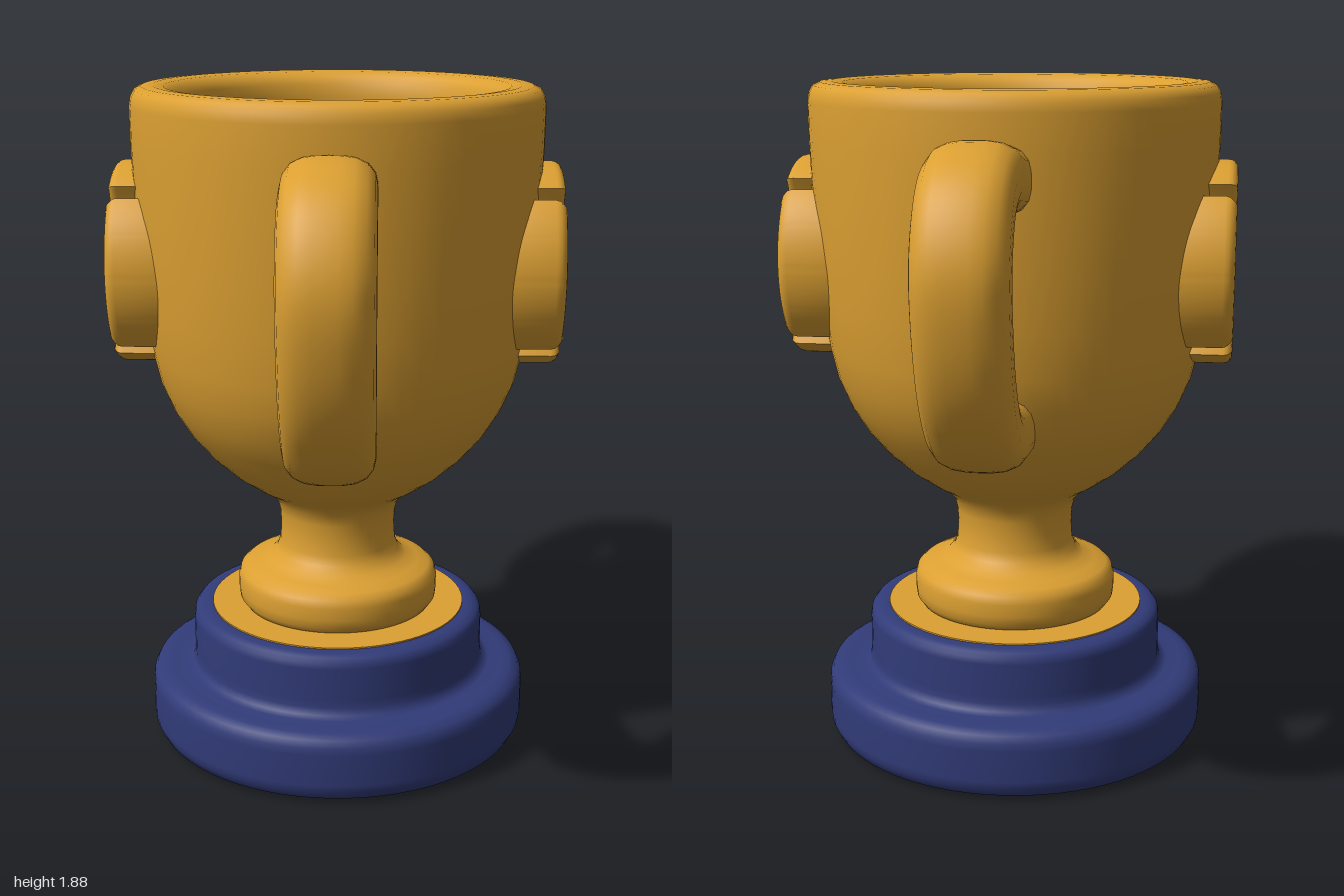
import * as THREE from 'three';
import { mergeVertices, toCreasedNormals } from 'three/addons/utils/BufferGeometryUtils.js';

const mat = (name, color) => {
  const m = new THREE.MeshStandardMaterial({ color });
  m.name = name;
  return m;
};

const V2 = (x, y) => new THREE.Vector2(x, y);

export function createModel() {
  const gold = mat('gold', 0xdca032);
  const blue = mat('navy blue', 0x313b78);
  const rust = mat('rust interior', 0xc05a24);
  const model = new THREE.Group();
  model.name = 'trophy';

  const add = (name, geometry, material, parent = model) => {
    const mesh = new THREE.Mesh(geometry, material);
    mesh.name = name;
    parent.add(mesh);
    return mesh;
  };
  const lathe = (name, pts, material) =>
    add(name, new THREE.LatheGeometry(pts.map(([x, y]) => V2(x, y)), 72), material);

  // Two-step plinth with softened edges
  lathe('plinth', [
    [0, 0], [0.49, 0], [0.51, 0.002], [0.535, 0.015], [0.548, 0.04], [0.55, 0.06],
    [0.55, 0.15], [0.548, 0.17], [0.538, 0.19], [0.515, 0.2], [0.49, 0.202],
    [0.45, 0.203], [0.432, 0.21], [0.426, 0.23], [0.425, 0.25], [0.425, 0.345],
    [0.422, 0.362], [0.412, 0.374], [0.395, 0.38], [0.375, 0.381], [0, 0.381],
  ], blue);

  // Thin gilt ring under the foot
  add('giltRing', new THREE.CylinderGeometry(0.37, 0.37, 0.006, 72).translate(0, 0.382, 0), gold);

  // Foot, stem, bowl and rolled rim in one profile
  lathe('cup', [
    [0.25, 0.382], [0.275, 0.387], [0.288, 0.405], [0.291, 0.43], [0.291, 0.465], [0.285, 0.487],
    [0.268, 0.502], [0.235, 0.512], [0.2, 0.526], [0.178, 0.548], [0.168, 0.575],
    [0.165, 0.62], [0.167, 0.665], [0.176, 0.7], [0.2, 0.728], [0.25, 0.758], [0.31, 0.8],
    [0.37, 0.855], [0.425, 0.92], [0.468, 0.99], [0.502, 1.07], [0.523, 1.16], [0.538, 1.28],
    [0.55, 1.42], [0.558, 1.58], [0.563, 1.72], [0.564, 1.83], [0.56, 1.855], [0.55, 1.873],
    [0.53, 1.882], [0.5, 1.884], [0.47, 1.88], [0.448, 1.866], [0.435, 1.845], [0.43, 1.81], [0.43, 1.78],
  ], gold);

  // Concave inside of the bowl
  lathe('cupInterior', [
    [0.43, 1.78], [0.428, 1.6], [0.422, 1.4], [0.408, 1.25], [0.38, 1.13],
    [0.33, 1.04], [0.25, 0.97], [0.13, 0.93], [0, 0.92],
  ], rust);

  // Handle: swept tube whose section is squared off and widened along x
  const path = new THREE.CatmullRomCurve3([
    [1.665, 0.48], [1.67, 0.58], [1.685, 0.72], [1.645, 0.835], [1.52, 0.905], [1.36, 0.893],
    [1.2, 0.83], [1.085, 0.725], [1.035, 0.6], [1.015, 0.44],
  ].map(([y, z]) => new THREE.Vector3(0, y, z)));
  const steps = 64, sides = 24, r = 0.09;
  let handle = new THREE.TubeGeometry(path, steps, r, sides);
  const pos = handle.attributes.position;
  const v = new THREE.Vector3();
  for (let i = 0; i <= steps; i++) {
    const centre = path.getPointAt(i / steps);
    for (let j = 0; j <= sides; j++) {
      const k = i * (sides + 1) + j;
      v.fromBufferAttribute(pos, k).sub(centre);
      const c = Math.abs(v.x) / r, s = Math.hypot(v.y, v.z) / r;
      v.multiplyScalar(Math.pow(c ** 3 + s ** 3, -1 / 3));
      v.x *= 0.115 / r;
      v.add(centre);
      pos.setXYZ(k, v.x, v.y, v.z);
    }
  }
  handle.deleteAttribute('uv');
  handle.deleteAttribute('normal');
  handle = mergeVertices(handle);
  handle.computeVertexNormals();
  add('frontHandle', handle, gold);
  add('backHandle', handle, gold).rotation.y = Math.PI;

  // Round ball emblem: waisted centre plate between two lens plates
  const R = 0.28, a = 0.96, b = 0.81;
  const centreShape = new THREE.Shape();
  centreShape.absarc(0, 0, R, a, Math.PI - a, false);
  centreShape.quadraticCurveTo(-0.035, 0, -R * Math.cos(a), -R * Math.sin(a));
  centreShape.absarc(0, 0, R, Math.PI + a, 2 * Math.PI - a, false);
  centreShape.quadraticCurveTo(0.035, 0, R * Math.cos(a), R * Math.sin(a));

  const lensShape = new THREE.Shape();
  lensShape.absarc(0, 0, R, -b, b, false);
  lensShape.quadraticCurveTo(0.035, 0, R * Math.cos(b), -R * Math.sin(b));

  const plate = (shape, bevel) => {
    const g = new THREE.ExtrudeGeometry(shape, {
      depth: 0.17 - bevel, curveSegments: 24, bevelEnabled: true, bevelSegments: 4,
      bevelSize: bevel, bevelOffset: -bevel, bevelThickness: bevel,
    });
    return toCreasedNormals(g.translate(0, 0, 0.443), 0.7);
  };
  const centreGeo = plate(centreShape, 0.025);
  const lensGeo = plate(lensShape, 0.03);

  for (const side of [1, -1]) {
    const emblem = new THREE.Group();
    emblem.name = side > 0 ? 'leftEmblem' : 'rightEmblem';
    add('emblemCentre', centreGeo, gold, emblem);
    add('emblemLens', lensGeo, gold, emblem);
    // Second lens is the first turned half a circle in the emblem plane
    add('emblemLens', lensGeo, gold, emblem).rotation.z = Math.PI;
    emblem.position.y = 1.395;
    emblem.rotation.y = side * Math.PI / 2;
    model.add(emblem);
  }

  return model;
}
